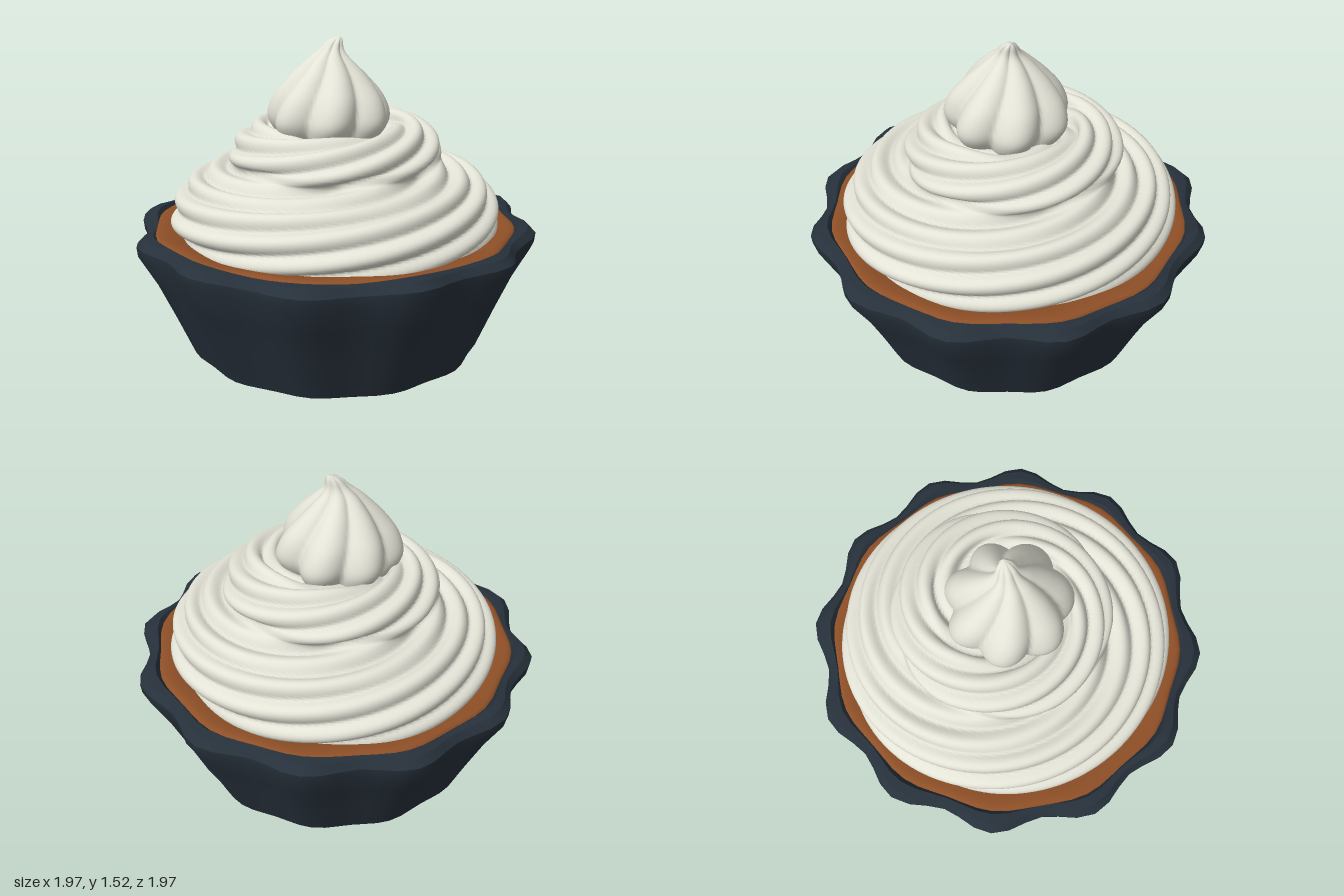
import * as THREE from 'three';
import { toCreasedNormals } from 'three/addons/utils/BufferGeometryUtils.js';

const TAU = Math.PI * 2;

// Closed ring surface: point(u, angle) returns { r, y, x?, z? }, u runs 0..1 along the profile
function ringSurface(point, rows, columns) {
  const positions = [], index = [];
  for (let i = 0; i <= rows; i++) {
    for (let j = 0; j < columns; j++) {
      const a = (j / columns) * TAU;
      const p = point(i / rows, a);
      positions.push(p.r * Math.sin(a) + (p.x ?? 0), p.y, p.r * Math.cos(a) + (p.z ?? 0));
    }
  }
  for (let i = 0; i < rows; i++) {
    for (let j = 0; j < columns; j++) {
      const a = i * columns + j, b = i * columns + (j + 1) % columns;
      const c = b + columns, d = a + columns;
      index.push(a, b, d, c, d, b);
    }
  }
  const geometry = new THREE.BufferGeometry();
  geometry.setAttribute('position', new THREE.Float32BufferAttribute(positions, 3));
  geometry.setIndex(index);
  geometry.computeVertexNormals();
  return geometry;
}

const spline = (points) => new THREE.SplineCurve(points.map(([r, y]) => new THREE.Vector2(r, y)));

// Rounded lobe with a sharp groove: 1 on the crest, 0 in the groove
const lobe = (phase) => Math.abs(Math.sin(phase / 2));

// Fluted tart case: underside, flared wall, rolled rim and inner lip
function crustGeometry() {
  // radius, height, flute depth
  const profile = [
    [0, 0.015, 0], [0.69, 0.015, 0.008], [0.715, 0.03, 0.01], [0.795, 0.23, 0.016],
    [0.87, 0.41, 0.022], [0.945, 0.56, 0.034], [0.95, 0.605, 0.034],
    [0.92, 0.638, 0.028], [0.885, 0.643, 0.016], [0.86, 0.615, 0.01], [0.84, 0.55, 0.008],
  ];
  const rows = profile.length - 1;
  const geometry = ringSurface((u, a) => {
    const k = Math.round(u * rows);
    const [r, y, depth] = profile[k];
    const wave = Math.cos(12 * a);
    const rim = k > 4 && k < 9 ? 0.008 * wave + 0.007 * Math.sin(5 * a + 1) : 0;
    return { r: r + depth * wave, y: y + rim };
  }, rows, 72);
  return toCreasedNormals(geometry, 0.6);
}

// Caramel ring visible between the case and the cream
function caramelGeometry() {
  const profile = spline([[0.885, 0.6], [0.87, 0.634], [0.83, 0.638], [0.77, 0.625], [0.68, 0.6]]);
  return ringSurface((u, a) => {
    const p = profile.getPoint(u);
    return { r: p.x + 0.01 * Math.cos(12 * a) + 0.006 * Math.sin(3 * a), y: p.y };
  }, 10, 72);
}

// Two piped tiers with spiral ridges climbing around them, leaning to the back left
function creamTiersGeometry() {
  const profile = spline([
    [0.75, 0.58], [0.795, 0.64], [0.8, 0.71], [0.765, 0.79], [0.69, 0.865], [0.58, 0.905],
    [0.505, 0.94], [0.515, 0.995], [0.48, 1.055], [0.41, 1.11], [0.33, 1.125], [0.26, 1.085], [0.12, 1.05],
  ]);
  return ringSurface((u, a) => {
    const p = profile.getPointAt(u), t = profile.getTangentAt(u);
    const ridge = lobe(6 * a - u * 9 * TAU + 0.5 * Math.sin(2 * a));
    const push = 0.042 * (ridge - 0.7) * Math.min(1, (1 - u) * 8);
    const lean = Math.min(1, u * 2);
    return {
      r: p.x + t.y * push + 0.012 * (1 - lean) * Math.cos(2 * a),
      y: p.y - t.x * push + 0.02 * lean * Math.cos(a - 2.36),
      x: 0.015 * lean,
      z: -0.02 * lean,
    };
  }, 110, 140);
}

// Twisted star-shaped peak with a slightly curled tip
function creamPeakGeometry() {
  const profile = spline([
    [0.22, 1.04], [0.27, 1.09], [0.298, 1.16], [0.27, 1.25], [0.2, 1.34],
    [0.12, 1.42], [0.062, 1.475], [0.035, 1.52], [0, 1.54],
  ]);
  return ringSurface((u, a) => {
    const p = profile.getPointAt(u);
    const groove = 0.83 + 0.19 * lobe(7 * (a - 0.6 * u));
    const bend = Math.max(0, u - 0.75) * 4;
    return { r: Math.max(0, p.x) * groove, y: p.y, x: -0.025 + 0.055 * bend * bend, z: -0.005 };
  }, 40, 112);
}

export function createModel() {
  const crust = new THREE.MeshStandardMaterial({ color: 0x27313b });
  crust.name = 'dark crust';
  const caramel = new THREE.MeshStandardMaterial({ color: 0x8f5027 });
  caramel.name = 'caramel';
  const cream = new THREE.MeshStandardMaterial({ color: 0xe3e3d7 });
  cream.name = 'cream';

  const model = new THREE.Group();
  model.name = 'creamTart';
  const parts = [
    ['flutedCrust', crustGeometry(), crust],
    ['caramelFilling', caramelGeometry(), caramel],
    ['creamTiers', creamTiersGeometry(), cream],
    ['creamPeak', creamPeakGeometry(), cream],
  ];
  for (const [name, geometry, material] of parts) {
    const mesh = new THREE.Mesh(geometry, material);
    mesh.name = name;
    model.add(mesh);
  }
  return model;
}
